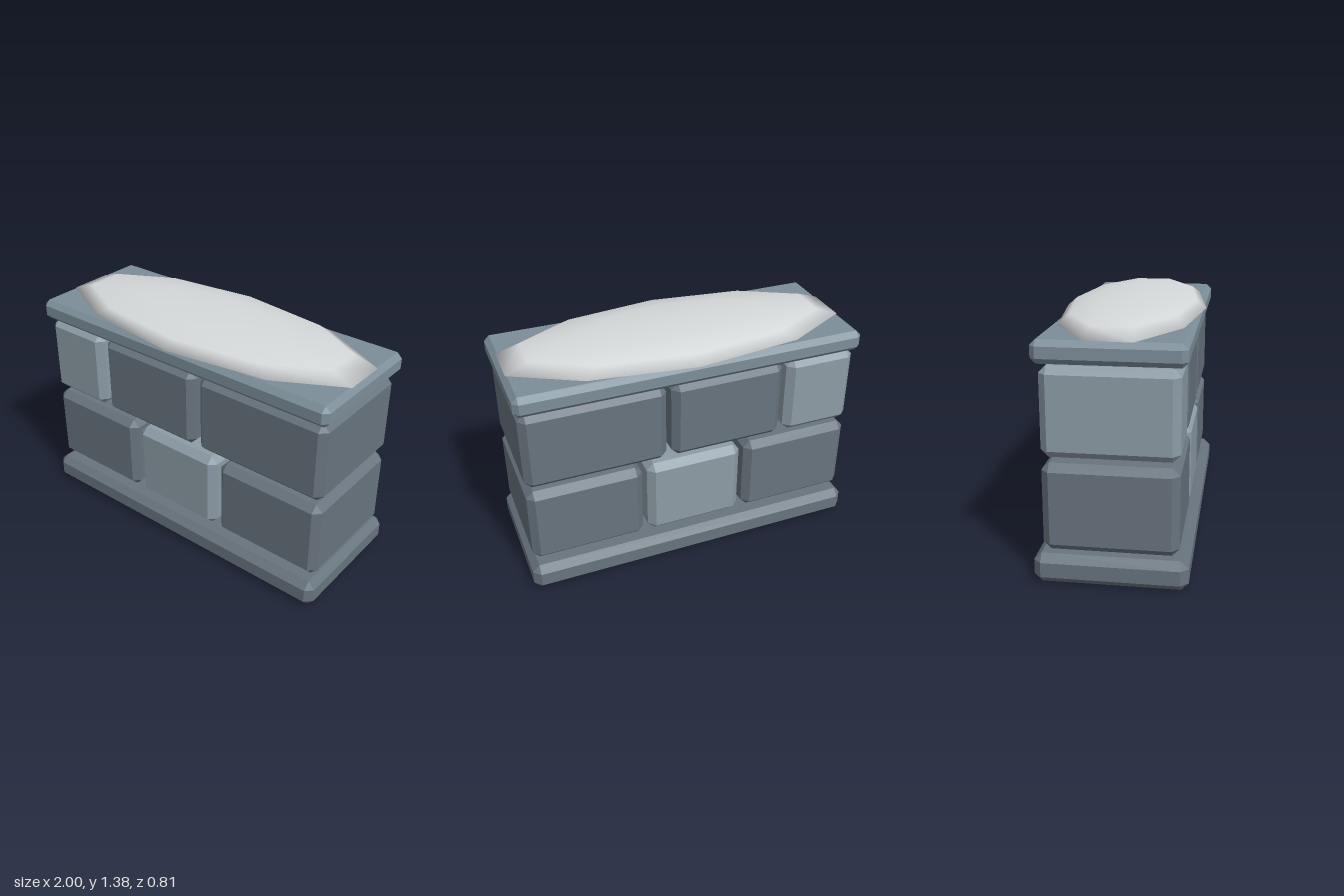
import * as THREE from 'three';
import { ConvexGeometry } from 'three/addons/geometries/ConvexGeometry.js';

const material = (name, color) => {
  const m = new THREE.MeshStandardMaterial({ color });
  m.name = name;
  return m;
};

// Box with all edges chamfered: each corner becomes three points
function chamferedBox(w, h, d, c) {
  const points = [];
  for (const sx of [-1, 1]) for (const sy of [-1, 1]) for (const sz of [-1, 1]) {
    for (const full of [0, 1, 2]) {
      const inset = [0, 1, 2].map(axis => (axis === full ? 0 : c));
      points.push(new THREE.Vector3(
        sx * (w / 2 - inset[0]), sy * (h / 2 - inset[1]), sz * (d / 2 - inset[2])));
    }
  }
  return new ConvexGeometry(points);
}

export function createModel() {
  const group = new THREE.Group();
  const darkStone = material('dark stone', 0x68747e);
  const lightStone = material('light stone', 0x8d9ca6);
  const copingStone = material('coping stone', 0x7d8e99);
  const snow = material('snow', 0xd6d9da);

  const addBlock = (name, x0, x1, y0, y1, depth, chamfer, mat) => {
    const mesh = new THREE.Mesh(chamferedBox(x1 - x0, y1 - y0, depth, chamfer), mat);
    mesh.position.set((x0 + x1) / 2, (y0 + y1) / 2, 0);
    mesh.name = name;
    group.add(mesh);
  };

  // Base and coping slabs
  addBlock('baseSlab', -1, 1, 0, 0.16, 0.8, 0.04, darkStone);
  addBlock('copingSlab', -1, 1, 1.16, 1.28, 0.765, 0.03, copingStone);

  // Two staggered courses of bricks, each running the full depth of the wall
  const courses = [
    { name: 'lowerBrick', y0: 0.18, y1: 0.65, bricks: [
      [-0.985, -0.32, darkStone], [-0.29, 0.285, lightStone], [0.315, 0.98, darkStone]] },
    { name: 'upperBrick', y0: 0.68, y1: 1.15, bricks: [
      [-0.985, -0.565, lightStone], [-0.535, 0.135, darkStone], [0.165, 0.98, darkStone]] },
  ];
  for (const { name, y0, y1, bricks } of courses) {
    bricks.forEach(([x0, x1, mat], i) => addBlock(`${name}${i + 1}`, x0, x1, y0, y1, 0.7, 0.04, mat));
  }

  // Snow cap: flattened ten-sided sphere sunk into the coping
  const cap = new THREE.SphereGeometry(1, 10, 6, Math.PI / 10);
  cap.scale(1.03, 0.095, 0.405);
  const snowCap = new THREE.Mesh(cap, snow);
  snowCap.position.y = 1.28;
  snowCap.name = 'snowCap';
  group.add(snowCap);

  return group;
}
